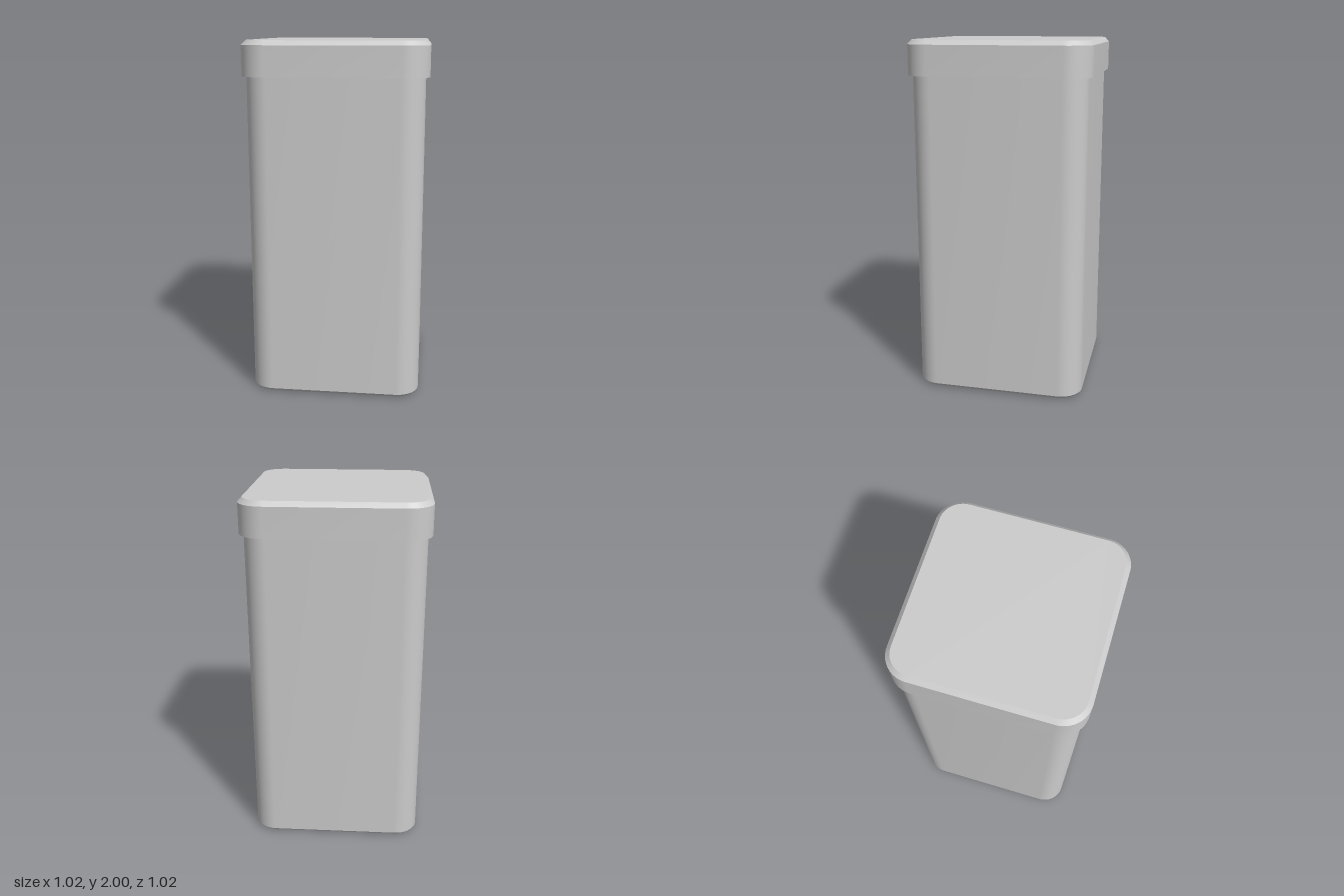
import * as THREE from 'three';
import { toCreasedNormals } from 'three/addons/utils/BufferGeometryUtils.js';

const CORNER_STEPS = 12;

// Points of a rounded square at height y, running from +x towards +z
function roundedSquare(y, half, radius) {
  const points = [];
  for (let corner = 0; corner < 4; corner++) {
    const mid = (corner + 0.5) * Math.PI / 2;
    const cx = Math.sign(Math.cos(mid)) * (half - radius);
    const cz = Math.sign(Math.sin(mid)) * (half - radius);
    for (let i = 0; i <= CORNER_STEPS; i++) {
      const a = (corner + i / CORNER_STEPS) * Math.PI / 2;
      points.push([cx + radius * Math.cos(a), y, cz + radius * Math.sin(a)]);
    }
  }
  return points;
}

// Skin over sections [y, half width, corner radius] from bottom to top
function loft(sections, capBottom) {
  const n = 4 * (CORNER_STEPS + 1);
  const positions = sections.flatMap((s) => roundedSquare(...s)).flat();
  const index = [];
  for (let r = 0; r < sections.length - 1; r++) {
    for (let j = 0; j < n; j++) {
      const a = r * n + j, b = r * n + (j + 1) % n;
      index.push(a, a + n, b, b, a + n, b + n);
    }
  }
  const last = (sections.length - 1) * n;
  for (let j = 1; j < n - 1; j++) {
    index.push(last, last + j + 1, last + j);
    if (capBottom) index.push(0, j, j + 1);
  }
  const geometry = new THREE.BufferGeometry();
  geometry.setAttribute('position', new THREE.Float32BufferAttribute(positions, 3));
  geometry.setIndex(index);
  return toCreasedNormals(geometry, 0.5);
}

export function createModel() {
  const group = new THREE.Group();
  group.name = 'canister';
  const material = new THREE.MeshStandardMaterial({ color: 0xcccccc });

  // Body with a small bevel round the base, reaching up into the lid
  const body = new THREE.Mesh(loft([
    [0, 0.46, 0.105],
    [0.022, 0.484, 0.128],
    [1.85, 0.484, 0.128],
  ], true), material);
  body.name = 'body';

  // Overhanging lid: underside rim, straight wall, bevelled top
  const lid = new THREE.Mesh(loft([
    [1.81, 0.484, 0.128],
    [1.81, 0.508, 0.145],
    [1.975, 0.508, 0.145],
    [2, 0.483, 0.12],
  ], false), material);
  lid.name = 'lid';

  group.add(body, lid);
  return group;
}
